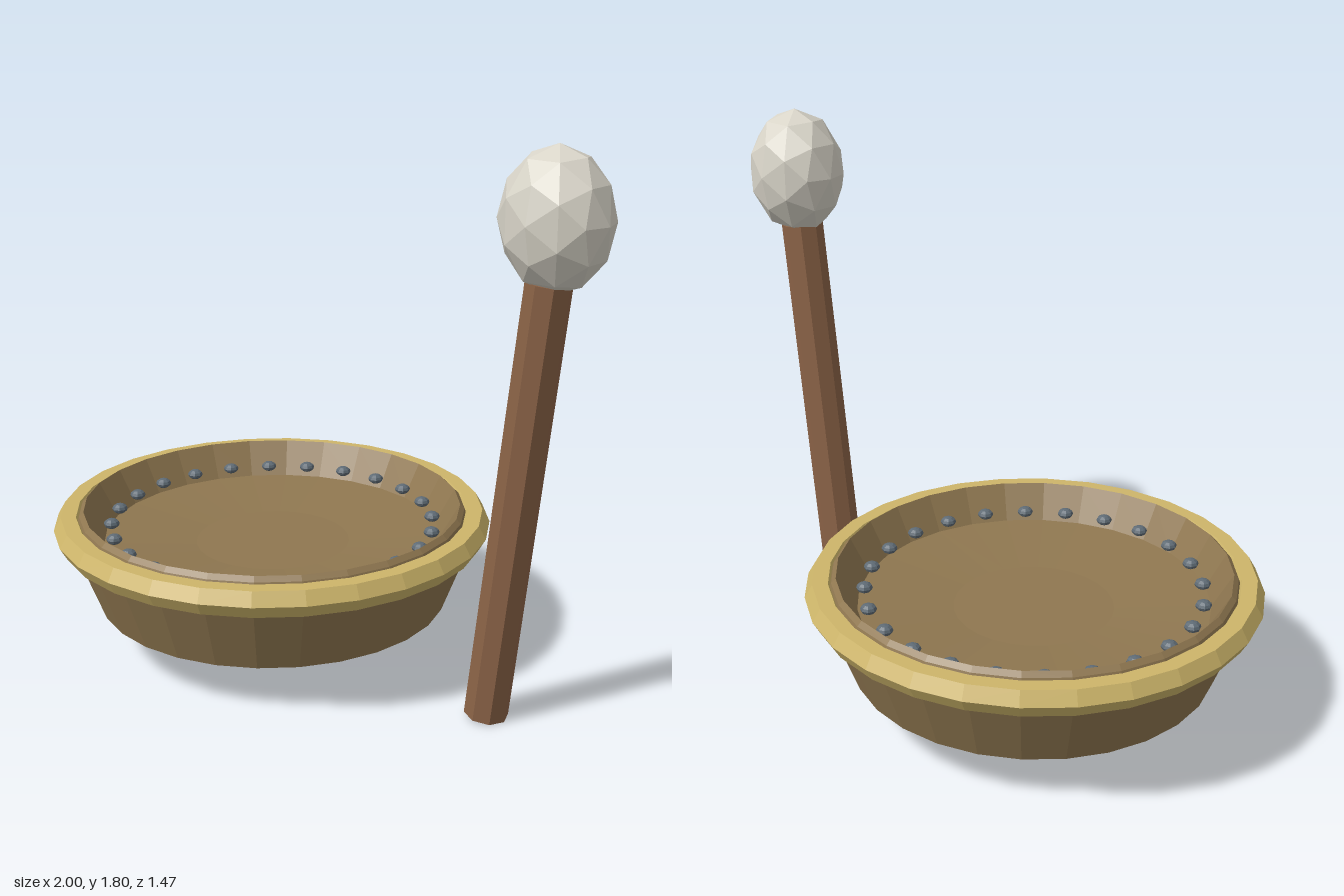
import * as THREE from 'three';

const SIDES = 28;
const BOWL_X = -0.265;

function flat(color) {
  return new THREE.MeshStandardMaterial({ color, flatShading: true });
}

function part(name, geometry, material, x = 0, y = 0, z = 0) {
  const mesh = new THREE.Mesh(geometry, material);
  mesh.name = name;
  mesh.position.set(x, y, z);
  return mesh;
}

export function createModel() {
  const model = new THREE.Group();
  model.name = 'bowlAndMallet';

  // Bowl: underside, flared wall, lip and the shallow inner floor
  const bowl = new THREE.Group();
  bowl.name = 'bowl';
  bowl.position.x = BOWL_X;
  const profile = [
    [0, 0.13], [0.29, 0.13], [0.59, 0.155], [0.68, 0.39], [0.65, 0.47],
    [0.635, 0.485], [0.57, 0.37], [0.26, 0.345], [0, 0.345],
  ].map(([r, y]) => new THREE.Vector2(r, y));
  bowl.add(part('shell', new THREE.LatheGeometry(profile, SIDES), flat(0x8f7750)));

  // Six-sided ring around the lip
  const ring = new THREE.TorusGeometry(0.685, 0.05, 6, SIDES).rotateX(Math.PI / 2);
  bowl.add(part('rim', ring, flat(0xcdb56a), 0, 0.425, 0));

  // Circle of studs inside the wall
  const studs = new THREE.Group();
  studs.name = 'studs';
  const studGeometry = new THREE.SphereGeometry(0.027, 8, 6).scale(1, 0.65, 1);
  const studMaterial = flat(0x5f6b75);
  for (let i = 0; i < 24; i++) {
    const a = (i / 24) * Math.PI * 2;
    studs.add(part('stud', studGeometry, studMaterial, 0.545 * Math.cos(a), 0.415, 0.545 * Math.sin(a)));
  }
  bowl.add(studs);
  model.add(bowl);

  // Mallet: leaning eight-sided handle with a faceted head
  const mallet = new THREE.Group();
  mallet.name = 'mallet';
  const foot = new THREE.Vector3(0.645, 0.01, 0);
  const top = new THREE.Vector3(0.813, 1.41, 0);
  const axis = top.clone().sub(foot);
  const handle = part('handle', new THREE.CylinderGeometry(0.07, 0.07, axis.length(), 8), flat(0x8b6347));
  handle.position.addVectors(foot, top).multiplyScalar(0.5);
  handle.quaternion.setFromUnitVectors(new THREE.Vector3(0, 1, 0), axis.normalize());
  mallet.add(handle);

  const head = new THREE.IcosahedronGeometry(1, 1).scale(0.171, 0.21, 0.153);
  mallet.add(part('head', head, flat(0xd8d4c8), 0.829, 1.588, 0));
  model.add(mallet);

  return model;
}
